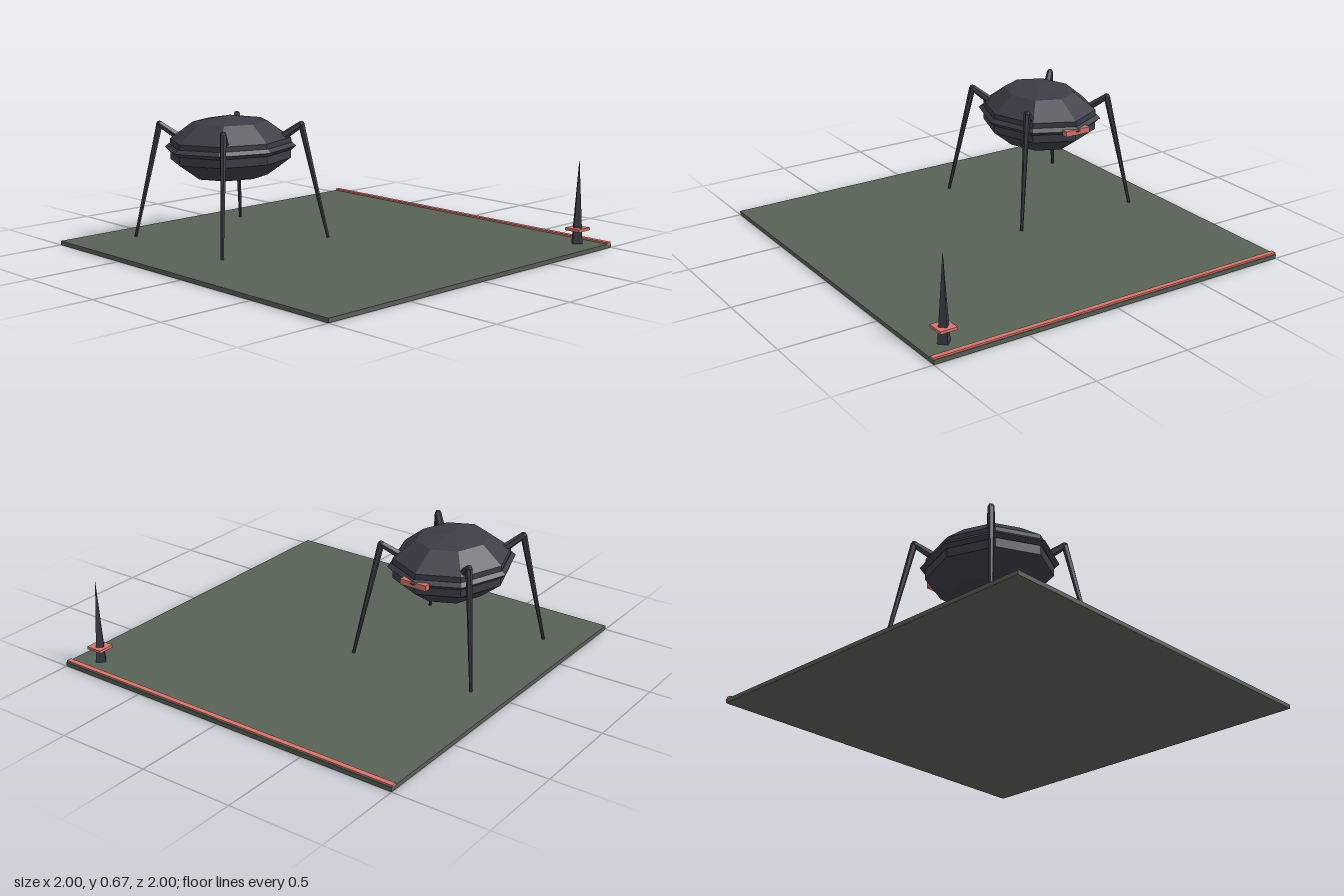
import * as THREE from 'three';

const material = (name, color) => {
  const m = new THREE.MeshStandardMaterial({ color, flatShading: true });
  m.name = name;
  return m;
};

export function createModel() {
  const ground = material('mossGreen', 0x586256);
  const dark = material('darkMetal', 0x3d3d47);
  const red = material('coralRed', 0xd4756a);

  const model = new THREE.Group();
  model.name = 'walkerOnPlatform';

  function add(parent, name, geometry, mat, x = 0, y = 0, z = 0) {
    const mesh = new THREE.Mesh(geometry, mat);
    mesh.name = name;
    mesh.position.set(x, y, z);
    parent.add(mesh);
    return mesh;
  }

  // Tapered six-sided rod from a to b
  function rod(parent, name, a, b, radiusA, radiusB) {
    const dir = b.clone().sub(a);
    const mid = a.clone().add(b).multiplyScalar(0.5);
    const geometry = new THREE.CylinderGeometry(radiusB, radiusA, dir.length(), 6);
    const mesh = add(parent, name, geometry, dark, mid.x, mid.y, mid.z);
    mesh.quaternion.setFromUnitVectors(new THREE.Vector3(0, 1, 0), dir.normalize());
  }

  // Platform with a painted edge strip along the back
  add(model, 'platform', new THREE.BoxGeometry(2, 0.022, 2), ground, 0, 0.011, 0);
  add(model, 'edgeStrip', new THREE.BoxGeometry(2, 0.014, 0.027), red, 0, 0.024, -0.982);

  // Spike with a collar in the back corner
  const spike = new THREE.Group();
  spike.name = 'spike';
  spike.position.set(0.875, 0, -0.88);
  model.add(spike);
  add(spike, 'spikeCone', new THREE.ConeGeometry(0.035, 0.445, 4), dark, 0, 0.2425, 0);
  add(spike, 'spikeCollar', new THREE.BoxGeometry(0.09, 0.014, 0.09), red, 0, 0.097, 0);

  // Walker, facing the back edge
  const walker = new THREE.Group();
  walker.name = 'walker';
  walker.position.set(-0.46, 0, 0.305);
  model.add(walker);

  const body = new THREE.SphereGeometry(1, 8, 5).scale(0.3, 0.173, 0.352);
  add(walker, 'body', body, dark, 0, 0.493, 0);

  const rim = new THREE.TorusGeometry(0.29, 0.019, 4, 8).rotateX(Math.PI / 2).scale(1, 1, 1.18);
  add(walker, 'rim', rim, dark, 0, 0.502, 0);

  add(walker, 'eyeBar', new THREE.BoxGeometry(0.15, 0.03, 0.036), red, 0, 0.496, -0.338);

  // Four bent legs
  for (const sx of [-1, 1]) {
    for (const sz of [-1, 1]) {
      const leg = new THREE.Group();
      leg.name = (sz < 0 ? 'back' : 'front') + (sx > 0 ? 'Left' : 'Right') + 'Leg';
      walker.add(leg);
      const hip = new THREE.Vector3(0.18 * sx, 0.545, 0.185 * sz);
      const knee = new THREE.Vector3(0.257 * sx, 0.618, 0.26 * sz);
      const foot = new THREE.Vector3(0.353 * sx, 0.022, 0.357 * sz);
      rod(leg, 'upperLeg', hip, knee, 0.022, 0.017);
      rod(leg, 'lowerLeg', foot, knee, 0.008, 0.017);
      add(leg, 'knee', new THREE.SphereGeometry(0.017, 6, 4), dark, knee.x, knee.y, knee.z);
    }
  }

  return model;
}
